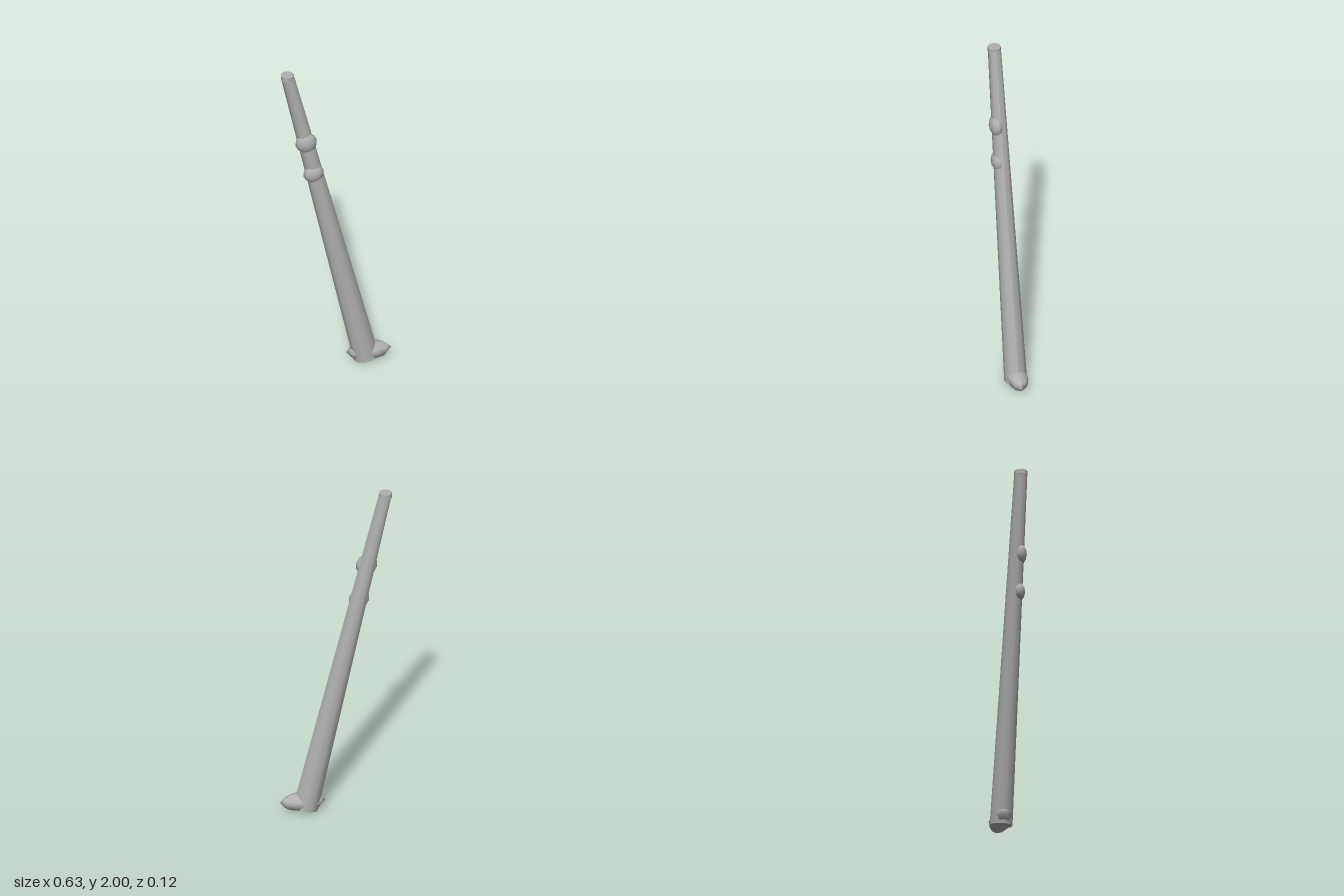
import * as THREE from 'three';

export function createModel() {
  const group = new THREE.Group();
  const grey = new THREE.MeshStandardMaterial({ color: 0xb0b0b0 });
  grey.name = 'plain grey';

  const add = (name, geometry, x, y, z, tilt = 0) => {
    const mesh = new THREE.Mesh(geometry, grey);
    mesh.name = name;
    mesh.position.set(x, y, z);
    mesh.rotation.z = tilt;
    group.add(mesh);
    return mesh;
  };

  // leaning, tapered pole; slightly flattened in depth towards the foot
  const bottom = new THREE.Vector2(0.171, 0.02);
  const top = new THREE.Vector2(-0.279, 1.98);
  const lean = Math.atan2(bottom.x - top.x, top.y - bottom.y);
  const length = bottom.distanceTo(top);
  const pole = new THREE.CylinderGeometry(0.037, 0.073, length, 10, 1);
  pole.rotateY(Math.PI / 2);
  const p = pole.attributes.position;
  for (let i = 0; i < p.count; i++) {
    if (p.getY(i) < 0) p.setZ(i, p.getZ(i) * 0.87);
  }
  pole.computeVertexNormals();
  add('pole', pole, (bottom.x + top.x) / 2, (bottom.y + top.y) / 2, 0, lean);

  // level cap at the tip
  const cap = new THREE.CylinderGeometry(0.037, 0.037, 0.03, 10);
  cap.rotateY(Math.PI / 2);
  add('tipCap', cap, -0.281, 1.985, 0);

  // two rounded knobs on the front
  const knob = (name, x, y, z, rx, ry, rz) => {
    const g = new THREE.SphereGeometry(1, 10, 6);
    g.scale(rx, ry, rz);
    add(name, g, x, y, z, lean);
  };
  knob('upperKnob', -0.177, 1.535, 0.018, 0.062, 0.064, 0.04);
  knob('lowerKnob', -0.135, 1.322, 0.02, 0.059, 0.057, 0.039);

  // flared foot, long in x, with a flat underside
  const profile = [[0, 0.025], [0.78, 0.025], [1, 0.06], [0.86, 0.078], [0.54, 0.103], [0, 0.111]];
  const foot = new THREE.LatheGeometry(profile.map(([r, y]) => new THREE.Vector2(r, y)), 10);
  foot.rotateY(Math.PI / 2);
  foot.scale(0.129, 1, 0.061);
  foot.computeVertexNormals();
  add('foot', foot, 0.187, 0, 0);

  return group;
}
